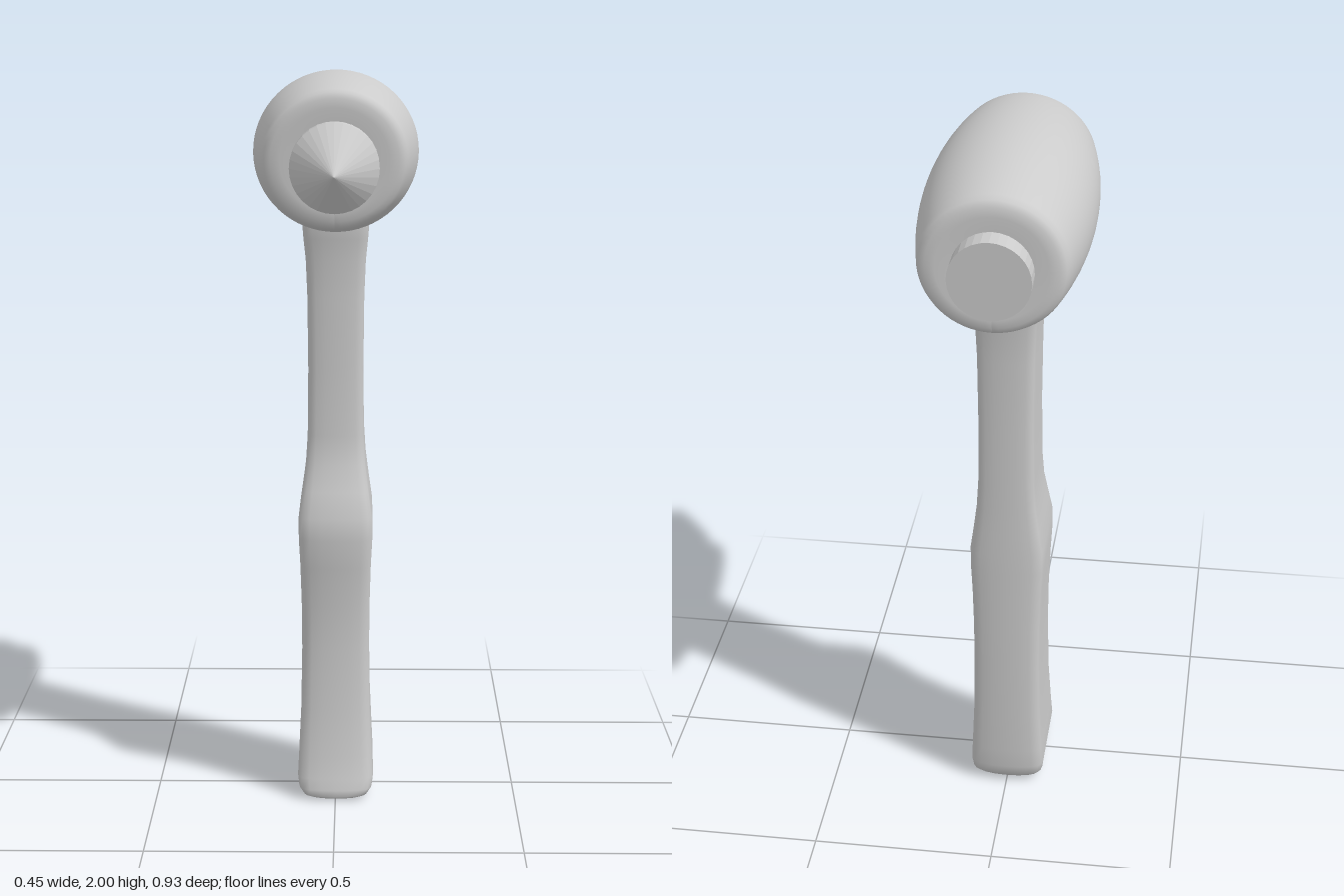
import * as THREE from 'three';

const material = new THREE.MeshStandardMaterial({ color: 0xcccccc });
const facetMaterial = new THREE.MeshStandardMaterial({ color: 0xcccccc, flatShading: true });

// Handle stations: height, front z, back z, half width
const STATIONS = [
  [0.005, 0.142, -0.145, 0.07], [0.012, 0.15, -0.16, 0.088], [0.03, 0.149, -0.174, 0.101],
  [0.06, 0.14, -0.18, 0.105], [0.12, 0.126, -0.182, 0.102], [0.25, 0.107, -0.184, 0.096],
  [0.42, 0.097, -0.185, 0.093], [0.55, 0.099, -0.185, 0.094], [0.66, 0.112, -0.185, 0.097],
  [0.74, 0.121, -0.185, 0.101], [0.8, 0.117, -0.185, 0.101], [0.87, 0.093, -0.184, 0.091],
  [0.94, 0.066, -0.183, 0.082], [1.02, 0.056, -0.183, 0.077], [1.2, 0.054, -0.183, 0.075],
  [1.4, 0.055, -0.183, 0.077], [1.5, 0.058, -0.187, 0.081], [1.56, 0.067, -0.195, 0.087],
  [1.6, 0.072, -0.202, 0.09], [1.66, 0.072, -0.202, 0.09],
];

// One quarter of the handle section, flat-sided with bowed front and back
const QUARTER = [[1, 0.3], [1, 0.72], [0.97, 0.83], [0.88, 0.91], [0.7, 0.955], [0.38, 0.99]];

function sectionRing() {
  const front = [...QUARTER, [0, 1], ...QUARTER.map(([x, z]) => [-x, z]).reverse()];
  return [...front, ...front.map(([x, z]) => [-x, -z])];
}

function handleGeometry() {
  const ring = sectionRing(), n = ring.length;
  const positions = [], index = [];
  for (const [y, front, back, halfWidth] of STATIONS) {
    const mid = (front + back) / 2, depth = (front - back) / 2;
    for (const [x, z] of ring) positions.push(x * halfWidth, y, mid + z * depth);
  }
  for (let s = 0; s < STATIONS.length - 1; s++) {
    for (let i = 0; i < n; i++) {
      const a = s * n + i, b = s * n + (i + 1) % n;
      index.push(a, a + n, b, b, a + n, b + n);
    }
  }
  // Bottom cap
  const centre = positions.length / 3;
  positions.push(0, 0, 0);
  for (let i = 0; i < n; i++) index.push(centre, i, (i + 1) % n);

  const geometry = new THREE.BufferGeometry();
  geometry.setAttribute('position', new THREE.Float32BufferAttribute(positions, 3));
  geometry.setIndex(index);
  geometry.computeVertexNormals();
  return geometry;
}

// Barrel-shaped head: radius against distance along z, with softened rims
function headGeometry() {
  const profile = [[0, -0.408], [0.1, -0.41], [0.14, -0.414], [0.165, -0.411], [0.181, -0.403], [0.189, -0.385]];
  for (let i = 1; i < 14; i++) {
    const t = i / 14, z = -0.385 + t * 0.64;
    profile.push([0.189 + 0.034 * (1 - (2 * t - 1) ** 2), z]);
  }
  profile.push([0.189, 0.255], [0.181, 0.27], [0.165, 0.277], [0.14, 0.28], [0.1, 0.277], [0, 0.274]);
  const geometry = new THREE.LatheGeometry(profile.map(([r, z]) => new THREE.Vector2(r, z)), 64);
  geometry.rotateX(Math.PI / 2);
  // Slightly squat, with end faces leaning forward at the top
  const p = geometry.attributes.position;
  for (let i = 0; i < p.count; i++) {
    const y = p.getY(i) * 0.955;
    p.setY(i, y);
    p.setZ(i, p.getZ(i) + y * 0.05);
  }
  geometry.computeVertexNormals();
  return geometry;
}

// Faceted round piece lying along z
function roundPiece(name, frontRadius, backRadius, z0, z1, y) {
  const geometry = new THREE.CylinderGeometry(frontRadius, backRadius, z1 - z0, 32);
  geometry.rotateX(Math.PI / 2);
  const mesh = new THREE.Mesh(geometry, facetMaterial);
  mesh.name = name;
  mesh.position.set(0, y, (z0 + z1) / 2);
  return mesh;
}

export function createModel() {
  const group = new THREE.Group();
  group.name = 'hammer';

  const handle = new THREE.Mesh(handleGeometry(), material);
  handle.name = 'handle';

  const head = new THREE.Mesh(headGeometry(), material);
  head.name = 'head';
  head.position.y = 1.787;

  // Striking tip and rear cap
  const collar = roundPiece('tipCollar', 0.115, 0.115, 0.2, 0.335, 1.772);
  const tip = roundPiece('tipCone', 0, 0.115, 0.335, 0.465, 1.772);
  const rear = roundPiece('rearCap', 0.104, 0.104, -0.465, -0.35, 1.778);

  // Apex sits a little below the collar axis
  const p = tip.geometry.attributes.position;
  for (let i = 0; i < p.count; i++) if (p.getZ(i) > 0) p.setY(i, p.getY(i) - 0.01);

  group.add(handle, head, collar, tip, rear);
  return group;
}
